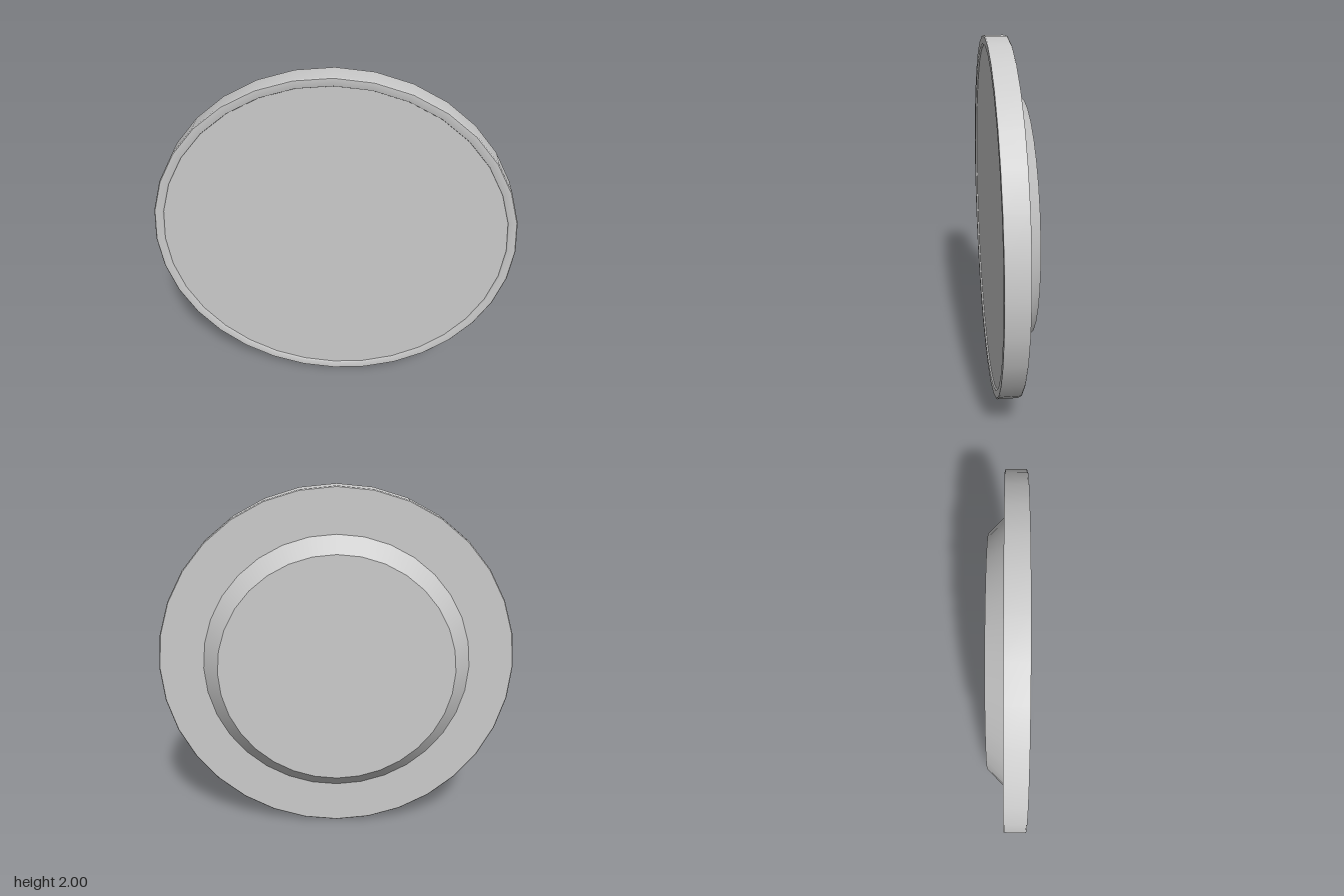
import * as THREE from 'three';

const SIDES = 32;

export function createModel() {
  const model = new THREE.Group();
  const material = new THREE.MeshStandardMaterial({ color: 0xcccccc });

  // Turns a [radius, z] profile, listed from back to front, around the z axis.
  function turned(name, profile) {
    const points = profile.map(([r, z]) => new THREE.Vector2(r, z));
    const geometry = new THREE.LatheGeometry(points, SIDES).rotateX(Math.PI / 2);
    const mesh = new THREE.Mesh(geometry, material);
    mesh.name = name;
    mesh.position.y = 1;
    model.add(mesh);
  }

  // Raised base on the back with a sloping edge
  turned('baseFace', [[0, -0.105], [0.66, -0.105]]);
  turned('baseSlope', [[0.66, -0.105], [0.75, -0.015]]);

  // Main disc: flat back and straight outer wall
  turned('discBack', [[0.75, -0.015], [0.995, -0.015]]);
  turned('discWall', [[0.995, -0.015], [1, -0.01], [1, 0.1], [0.995, 0.105]]);

  // Narrow front lip around a slightly sunken face
  turned('frontLip', [[0.995, 0.105], [0.955, 0.105], [0.95, 0.095]]);
  turned('frontFace', [[0.95, 0.095], [0, 0.095]]);

  return model;
}
